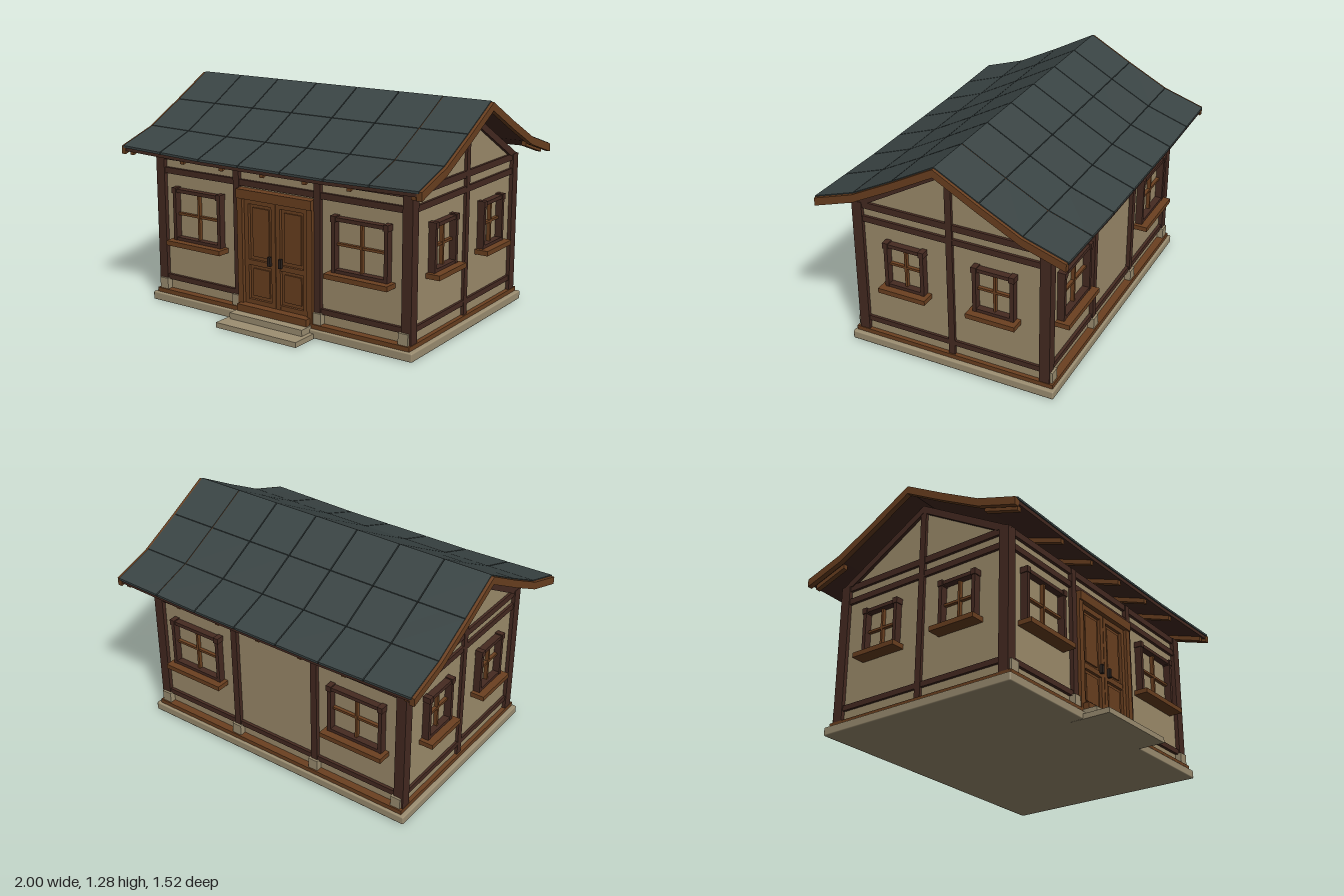
import * as THREE from 'three';
import { RoundedBoxGeometry } from 'three/addons/geometries/RoundedBoxGeometry.js';

const material = (name, color) => {
  const m = new THREE.MeshStandardMaterial({ color });
  m.name = name;
  return m;
};

export function createModel() {
  const plaster = material('plaster', 0x9e8d6c);
  const stone = material('stone', 0x9d8f72);
  const timber = material('dark timber', 0x452a21);
  const wood = material('warm wood', 0x6b4020);
  const slate = material('slate', 0x3a4444);
  const iron = material('iron', 0x2a211c);

  const model = new THREE.Group();
  model.name = 'house';
  const house = new THREE.Group();
  house.name = 'building';
  house.position.z = -0.022;
  model.add(house);

  const add = (parent, name, geometry, mat) => {
    const mesh = new THREE.Mesh(geometry, mat);
    mesh.name = name;
    parent.add(mesh);
    return mesh;
  };
  // Box given by its lower and upper limits on each axis
  const box = (parent, name, mat, x0, x1, y0, y1, z0, z1) => {
    const mesh = add(parent, name, new THREE.BoxGeometry(x1 - x0, y1 - y0, z1 - z0), mat);
    mesh.position.set((x0 + x1) / 2, (y0 + y1) / 2, (z0 + z1) / 2);
    return mesh;
  };
  // Shape in the z-y plane extruded along x
  const crossSection = (name, mat, points, x0, x1) => {
    const shape = new THREE.Shape(points.map(p => new THREE.Vector2(p[0], p[1])));
    const g = new THREE.ExtrudeGeometry(shape, { depth: x1 - x0, bevelEnabled: false });
    g.rotateY(Math.PI / 2).translate(x0, 0, 0);
    return add(house, name, g, mat);
  };

  // Foundation, steps and walls
  const base = add(house, 'foundation', new RoundedBoxGeometry(1.79, 0.05, 1.25, 1, 0.008), stone);
  base.position.y = 0.026;
  box(house, 'lowerStep', stone, -0.275, 0.275, 0, 0.03, 0.55, 0.787);
  box(house, 'upperStep', stone, -0.25, 0.25, 0.03, 0.066, 0.55, 0.696);
  box(house, 'groundSill', wood, -0.87, 0.87, 0.05, 0.076, -0.61, 0.61);
  box(house, 'walls', plaster, -0.845, 0.845, 0.07, 0.89, -0.565, 0.565);
  crossSection('gable', plaster, [[-0.56, 0.885], [0.56, 0.885], [0, 1.2]], -0.845, 0.845);

  // Timber framing
  const rails = [[0.133, 0.164], [0.775, 0.81], [0.857, 0.895]];
  for (const s of [-1, 1]) {
    for (const x of [-0.837, -0.276, 0.276, 0.837]) {
      const corner = Math.abs(x) > 0.5;
      const w = corner ? 0.03 : 0.02;
      const zIn = s * 0.528, zOut = s * 0.589;
      box(house, corner ? 'cornerPost' : 'wallPost', timber, x - w, x + w, 0.07, 0.893,
        Math.min(zIn, zOut), Math.max(zIn, zOut));
      const fx = corner ? Math.sign(x) * 0.826 : x;
      const foot = box(house, 'postFoot', stone, fx - 0.03, fx + 0.03, 0.074, 0.14, -0.025, 0.025);
      foot.position.z = s * 0.577;
    }
    for (const [y0, y1] of rails) {
      const spans = s > 0 && y0 < 0.5 ? [[-0.84, -0.26], [0.26, 0.84]] : [[-0.84, 0.84]];
      for (const [a, b] of spans) {
        box(house, 'longRail', timber, a, b, y0, y1, -0.02, 0.02).position.z = s * 0.563;
      }
      box(house, 'sideRail', timber, -0.01, 0.01, y0, y1, -0.55, 0.55).position.x = s * 0.85;
    }
    box(house, 'sidePost', timber, -0.012, 0.012, 0.07, 1.2, -0.019, 0.019).position.x = s * 0.85;
    crossSection('gableBraces', timber, [
      [-0.59, 0.885], [-0.51, 0.885], [0, 1.178], [0.51, 0.885], [0.59, 0.885], [0, 1.222],
    ], s * 0.85 - 0.014, s * 0.85 + 0.014);
  }

  // Windows: dark frame, crossed glazing bars and a deep sill
  const addWindow = (x, z, turn, w, y0, y1) => {
    const g = new THREE.Group();
    g.name = 'window';
    g.position.set(x, 0, z);
    g.rotation.y = turn;
    house.add(g);
    const mid = (y0 + y1) / 2;
    for (const s of [-1, 1]) {
      const c = s * (w - 0.011);
      box(g, 'frameSide', timber, c - 0.011, c + 0.011, y0, y1, -0.01, 0.042);
      box(g, 'frameCorner', timber, c - 0.016, c + 0.016, y1 - 0.03, y1 + 0.004, -0.01, 0.047);
    }
    box(g, 'frameTop', timber, -w, w, y1 - 0.024, y1 - 0.003, -0.01, 0.04);
    box(g, 'frameBottom', timber, -w, w, y0, y0 + 0.018, -0.01, 0.04);
    box(g, 'uprightBar', wood, -0.007, 0.007, y0, y1 - 0.01, -0.01, 0.022);
    box(g, 'crossBar', wood, -w + 0.01, w - 0.01, mid - 0.007, mid + 0.007, -0.01, 0.02);
    box(g, 'windowSill', wood, -w - 0.024, w + 0.024, y0 - 0.028, y0, -0.01, 0.083);
  };
  for (const s of [-1, 1]) {
    addWindow(s * 0.556, 0.565, 0, 0.175, 0.392, 0.7);
    addWindow(s * 0.556, -0.565, Math.PI, 0.175, 0.397, 0.69);
    for (const z of [-0.268, 0.268]) addWindow(s * 0.845, z, s * Math.PI / 2, 0.121, 0.42, 0.69);
  }

  // Double door with recessed panels
  const door = new THREE.Group();
  door.name = 'door';
  house.add(door);
  box(door, 'lintel', wood, -0.255, 0.255, 0.712, 0.765, 0.55, 0.618);
  box(door, 'threshold', wood, -0.24, 0.24, 0.066, 0.106, 0.55, 0.642);
  for (const s of [-1, 1]) {
    const leaf = new THREE.Group();
    leaf.name = 'doorLeaf';
    leaf.position.x = s * 0.109;
    door.add(leaf);
    box(door, 'jamb', wood, -0.018, 0.018, 0.076, 0.712, 0.55, 0.608).position.x = s * 0.238;
    box(leaf, 'leafBoard', wood, -0.109, 0.107, 0.106, 0.712, 0.55, 0.574);
    for (const c of [-0.093, 0.093]) box(leaf, 'stile', wood, c - 0.014, c + 0.014, 0.106, 0.712, 0.57, 0.592);
    for (const [a, b] of [[0.106, 0.132], [0.332, 0.362], [0.682, 0.712]]) {
      box(leaf, 'doorRail', wood, -0.08, 0.08, a, b, 0.57, 0.591);
    }
    for (const [a, b] of [[0.152, 0.312], [0.382, 0.662]]) {
      box(leaf, 'raisedPanel', wood, -0.057, 0.057, a, b, 0.57, 0.583);
    }
    box(door, 'doorHandle', iron, -0.009, 0.009, 0.35, 0.402, 0.59, 0.61).position.x = s * 0.037;
  }

  // Roof line: kinked slope, with the eaves lifting slightly toward the gable ends
  const stations = [[0, 1.285], [0.25, 1.147], [0.49, 1.022], [0.735, 0.942]];
  const roofY = (d, x) => {
    let i = 0;
    while (i < 2 && d > stations[i + 1][0]) i++;
    const [[d0, y0], [d1, y1]] = [stations[i], stations[i + 1]];
    const lift = Math.max(0, (Math.abs(x) - 0.42) / 0.56);
    return y0 + (y1 - y0) * (d - d0) / (d1 - d0) - 0.014 * (d / 0.735) ** 2 * (1 - Math.min(1, lift));
  };
  // Slab that follows the roof line between two distances from the ridge
  const slab = (name, mat, side, x0, x1, d0, d1, top, bottom) => {
    const g = new THREE.BoxGeometry(1, 1, 1);
    const p = g.attributes.position;
    for (let i = 0; i < p.count; i++) {
      const x = p.getX(i) < 0 ? x0 : x1;
      const d = p.getZ(i) * side < 0 ? d0 : d1;
      p.setXYZ(i, x, roofY(d, x) + (p.getY(i) > 0 ? top : bottom), side * d);
    }
    g.computeVertexNormals();
    add(house, name, g, mat);
  };
  const seams = [-0.982, -0.7, -0.42, -0.142, 0.138, 0.417, 0.695, 0.982];
  for (const side of [-1, 1]) {
    for (let r = 0; r < 3; r++) {
      const d0 = stations[r][0], d1 = stations[r + 1][0];
      for (let c = 0; c < 7; c++) {
        slab('roofDeck', timber, side, seams[c], seams[c + 1], d0, d1 - (r === 2 ? 0.008 : 0), -0.012, -0.035);
        slab('slateTile', slate, side, seams[c] + (c ? 0.003 : 0), seams[c + 1] - (c < 6 ? 0.003 : 0),
          d0 + (r ? 0.002 : 0), d1 - (r < 2 ? 0.002 : 0), 0, -0.013);
      }
      slab('seamBatten', wood, side, 0.691, 0.699, d0, Math.min(d1, 0.69), -0.004, -0.014);
      for (const s of [-1, 1]) {
        slab('bargeBoard', wood, side, s * 0.985 - 0.015, s * 0.985 + 0.015, d0, Math.min(d1, 0.73), -0.006, -0.052);
      }
    }
    // Rafter tails under the eaves
    for (const x of [-0.94, -0.56, -0.28, 0, 0.28, 0.56, 0.94]) {
      slab('rafterTail', wood, side, x - 0.014, x + 0.014, 0.5, 0.71, -0.03, -0.062);
    }
  }
  return model;
}
